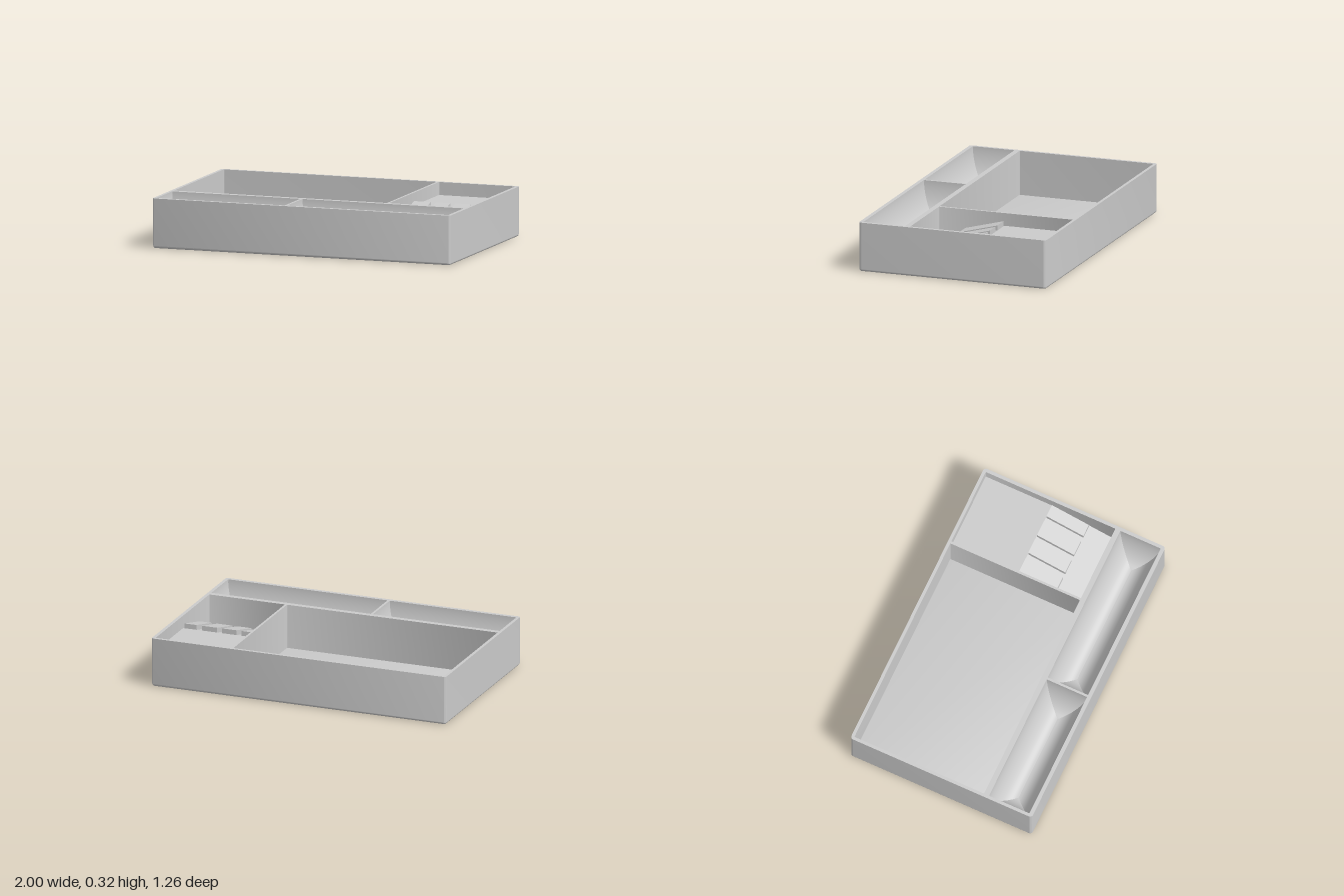
import * as THREE from 'three';
import { toCreasedNormals } from 'three/addons/utils/BufferGeometryUtils.js';

const H = 0.318;
const grey = new THREE.MeshStandardMaterial({ color: 0xcccccc });

function roundedRect(target, x0, x1, z0, z1, r) {
  // shape y is -z, so the extrusion can be turned upright
  const a = -z1, b = -z0;
  target.moveTo(x0 + r, a);
  target.lineTo(x1 - r, a);
  target.absarc(x1 - r, a + r, r, -Math.PI / 2, 0);
  target.lineTo(x1, b - r);
  target.absarc(x1 - r, b - r, r, 0, Math.PI / 2);
  target.lineTo(x0 + r, b);
  target.absarc(x0 + r, b - r, r, Math.PI / 2, Math.PI);
  target.lineTo(x0, a + r);
  target.absarc(x0 + r, a + r, r, Math.PI, Math.PI * 1.5);
  return target;
}

function add(group, name, geometry) {
  const mesh = new THREE.Mesh(geometry, grey);
  mesh.name = name;
  group.add(mesh);
  return mesh;
}

// Side profile of [z, y] points extruded from x0 to x1
function profileBlock(points, x0, x1) {
  const shape = new THREE.Shape(points.map(([z, y]) => new THREE.Vector2(-z, y)));
  const geo = new THREE.ExtrudeGeometry(shape, { depth: x1 - x0, bevelEnabled: false });
  return geo.rotateY(Math.PI / 2).translate(x0, 0, 0);
}

// Scooped trough: four coved sides meeting in mitred corners
function trough(x0, x1, z0, z1, depth) {
  const half = (z1 - z0) / 2, steps = 20, pos = [], index = [];
  const corners = (t) => [
    [x0 + t, z0 + t], [x0 + t, z1 - t], [x1 - t, z1 - t], [x1 - t, z0 + t],
  ];
  for (let side = 0; side < 4; side++) {
    const start = pos.length / 3;
    for (let i = 0; i <= steps; i++) {
      const u = 1 - Math.cos((i / steps) * Math.PI / 2);
      const y = H - depth * Math.pow(1 - (1 - u) ** 2, 0.6);
      const c = corners(u * half);
      for (const [x, z] of [c[side], c[(side + 1) % 4]]) pos.push(x, y, z);
    }
    for (let i = 0; i < steps; i++) {
      const a = start + i * 2;
      index.push(a, a + 1, a + 2, a + 1, a + 3, a + 2);
    }
  }
  const geo = new THREE.BufferGeometry();
  geo.setAttribute('position', new THREE.Float32BufferAttribute(pos, 3));
  geo.setIndex(index);
  geo.computeVertexNormals();
  return geo;
}

export function createModel() {
  const model = new THREE.Group();
  model.name = 'organizerTray';

  const main = [-0.98, 0.45, -0.61, 0.29];
  const side = [0.465, 0.978, -0.61, 0.29];
  const troughs = [[-0.98, -0.12, 0.325, 0.605], [-0.105, 0.978, 0.325, 0.605]];

  // Outer walls and dividers, with an opening per compartment
  const bevel = 0.015;
  const walls = roundedRect(new THREE.Shape(), -1, 1, -0.63, 0.63, 0.02);
  for (const o of [main, side, ...troughs]) {
    walls.holes.push(roundedRect(new THREE.Path(), ...o, 0.004));
  }
  const wallGeo = new THREE.ExtrudeGeometry(walls, { depth: H - bevel, bevelEnabled: false, curveSegments: 6 });
  wallGeo.rotateX(-Math.PI / 2).translate(0, bevel, 0);
  add(model, 'wallsAndDividers', toCreasedNormals(wallGeo, 0.6));

  // Bottom with a rounded lower edge, also the floor of the main compartment
  const baseGeo = new THREE.ExtrudeGeometry(
    roundedRect(new THREE.Shape(), -1, 1, -0.63, 0.63, 0.02),
    { depth: 0.001, bevelThickness: bevel, bevelSize: bevel, bevelOffset: -bevel, bevelSegments: 5, curveSegments: 6 },
  );
  baseGeo.rotateX(-Math.PI / 2).translate(0, bevel, 0);
  add(model, 'base', toCreasedNormals(baseGeo, 0.6));

  // Raised floor of the side compartment, sloping down toward the front
  const floor = [[-0.612, 0.02], [0.292, 0.02], [0.292, 0.12], [-0.15, 0.235], [-0.612, 0.235]];
  add(model, 'sideFloor', profileBlock(floor, 0.463, 0.98));

  // Sloping rests separated by narrow grooves
  const rest = [[-0.147, 0.15], [0.11, 0.1], [0.11, 0.198], [-0.147, 0.266]];
  for (const [x0, x1] of [[0.47, 0.582], [0.618, 0.714], [0.748, 0.852], [0.888, 0.97]]) {
    add(model, 'rest', profileBlock(rest, x0, x1));
  }

  // Two scooped troughs along the front
  for (const t of troughs) add(model, 'scoopedTrough', trough(...t, 0.22));

  return model;
}
